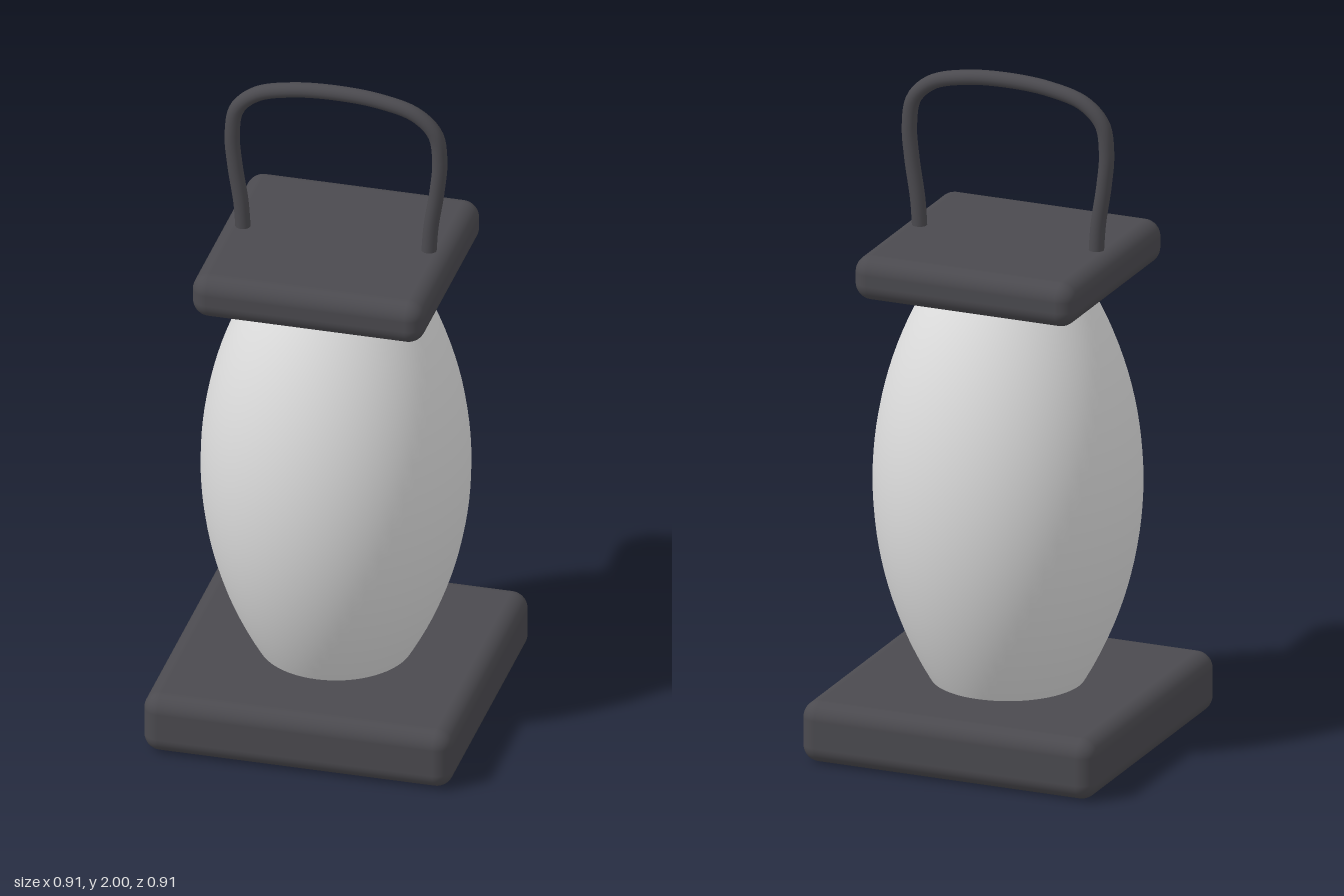
import * as THREE from 'three';
import { RoundedBoxGeometry } from 'three/addons/geometries/RoundedBoxGeometry.js';

export function createModel() {
  const group = new THREE.Group();
  const darkMetal = new THREE.MeshStandardMaterial({ color: 0x4b4a4f });
  darkMetal.name = 'dark metal';
  const paleGlass = new THREE.MeshStandardMaterial({ color: 0xdedede });
  paleGlass.name = 'pale glass';

  const add = (name, geometry, material) => {
    const mesh = new THREE.Mesh(geometry, material);
    mesh.name = name;
    group.add(mesh);
    return mesh;
  };

  // Square rounded slab between two heights
  const slab = (name, width, bottom, top, radius) => {
    const geometry = new RoundedBoxGeometry(width, top - bottom, width, 6, radius);
    add(name, geometry, darkMetal).position.y = (bottom + top) / 2;
  };
  slab('base', 0.91, 0, 0.182, 0.05);
  slab('cap', 0.684, 1.373, 1.505, 0.05);

  // Barrel-shaped globe: a circular arc turned about the axis, ends closed inside the slabs
  const arcRadius = 1.16, middle = 0.778, bulge = 0.386, reach = 0.63;
  const profile = [new THREE.Vector2(0, middle - reach)];
  for (let i = 0; i <= 32; i++) {
    const h = -reach + (2 * reach * i) / 32;
    profile.push(new THREE.Vector2(bulge - arcRadius + Math.sqrt(arcRadius ** 2 - h * h), middle + h));
  }
  profile.push(new THREE.Vector2(0, middle + reach));
  add('globe', new THREE.LatheGeometry(profile, 64), paleGlass);

  // Bail handle, half described and mirrored
  const half = [[0.272, 1.46], [0.28, 1.58], [0.298, 1.7], [0.306, 1.8], [0.292, 1.885], [0.235, 1.94], [0.13, 1.969]];
  const points = [
    ...half.map(([x, y]) => new THREE.Vector3(-x, y, 0)),
    new THREE.Vector3(0, 1.978, 0),
    ...half.slice().reverse().map(([x, y]) => new THREE.Vector3(x, y, 0)),
  ];
  add('handle', new THREE.TubeGeometry(new THREE.CatmullRomCurve3(points), 96, 0.022, 16), darkMetal);

  return group;
}
